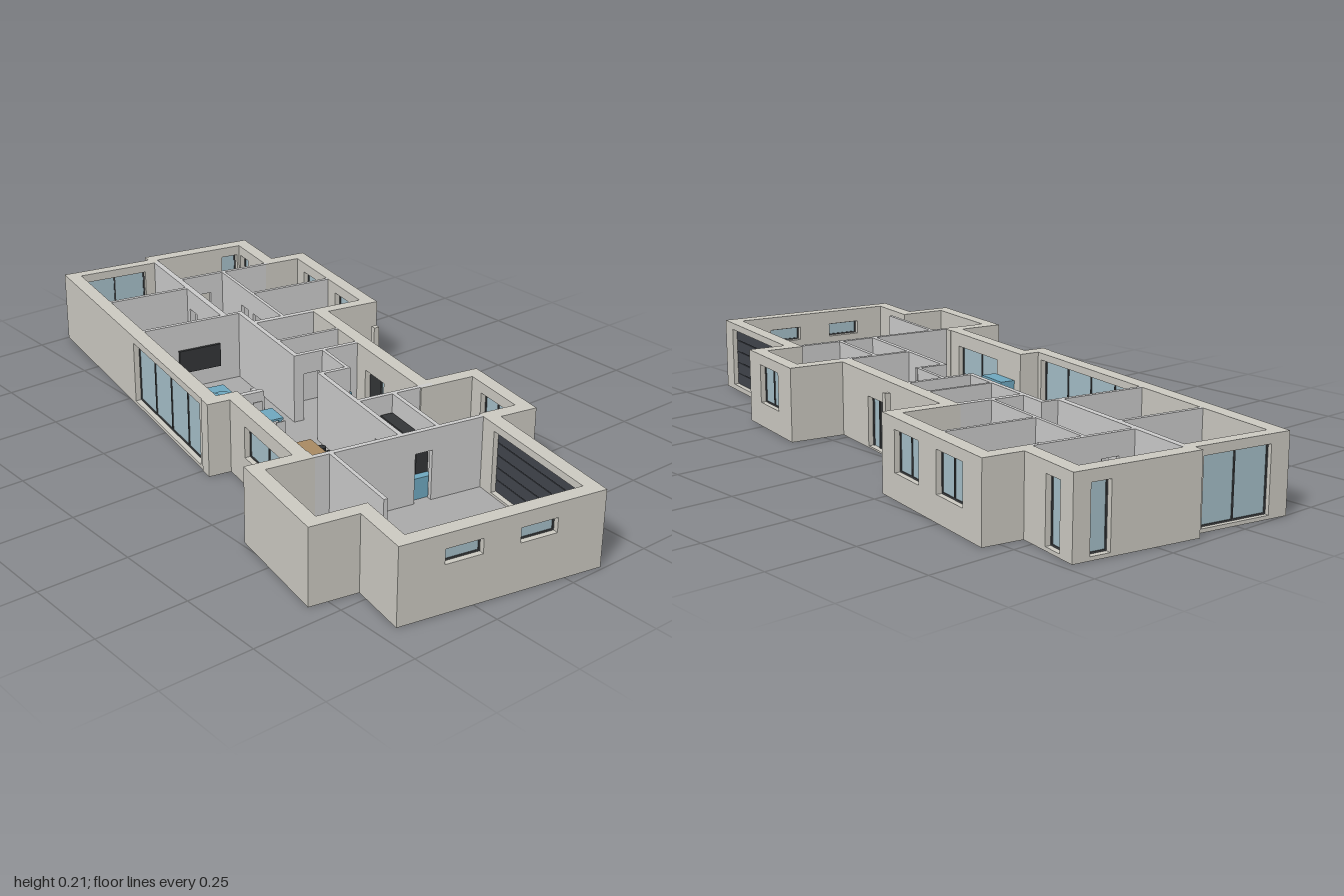
import * as THREE from 'three';

const H = 0.21; // wall height
const mat = (color) => new THREE.MeshStandardMaterial({ color });
const M = {
  wall: mat(0xcccac2), inner: mat(0xcccccc), floor: mat(0xaaaaaa), frame: mat(0x45484a),
  glass: mat(0xa5bfc8), garage: mat(0x41454c), blue: mat(0x6fa8c0), wood: mat(0xa98a62),
  dark: mat(0x333537), white: mat(0xdddddd),
};

// Box from ranges along the house's own x, z and y
function box(parent, name, m, x0, x1, z0, z1, y0, y1) {
  const mesh = new THREE.Mesh(new THREE.BoxGeometry(x1 - x0, y1 - y0, z1 - z0), m);
  mesh.position.set((x0 + x1) / 2, (y0 + y1) / 2, (z0 + z1) / 2);
  mesh.name = name;
  parent.add(mesh);
  return mesh;
}

// Box centred on a point, standing on the floor
const block = (parent, name, m, x, z, w, d, h, y = 0.008) =>
  box(parent, name, m, x - w / 2, x + w / 2, z - d / 2, z + d / 2, y, y + h);

// Wall along x or z with openings {a, b, y0, y1, kind, panes}
function wall(parent, name, m, axis, a0, a1, c0, c1, openings = []) {
  const g = new THREE.Group();
  g.name = name;
  parent.add(g);
  const put = (n, mt, a, b, y0, y1, d0 = c0, d1 = c1) =>
    axis === 'x' ? box(g, n, mt, a, b, d0, d1, y0, y1) : box(g, n, mt, d0, d1, a, b, y0, y1);
  const mid = (c0 + c1) / 2;
  let at = a0;
  for (const { a, b, y0, y1, kind, panes = 2 } of openings) {
    put('wallPiece', m, at, a, 0, H);
    if (y0 > 0) put('sill', m, a, b, 0, y0);
    put('lintel', m, a, b, y1, H);
    at = b;
    if (kind === 'window') {
      put('glass', M.glass, a, b, y0, y1, mid - 0.002, mid + 0.002);
      const f = 0.004;
      for (let i = 0; i <= panes; i++) {
        const p = a + f / 2 + (b - a - f) * i / panes;
        put('frame', M.frame, p - f / 2, p + f / 2, y0, y1, mid - 0.005, mid + 0.005);
      }
      put('frame', M.frame, a, b, y0, y0 + f, mid - 0.005, mid + 0.005);
      put('frame', M.frame, a, b, y1 - f, y1, mid - 0.005, mid + 0.005);
    } else if (kind === 'garage') {
      const n = 5, s = (y1 - y0) / n;
      put('garageDoor', M.garage, a, b, y0, y1, mid - 0.004, mid + 0.004);
      for (let i = 0; i < n; i++)
        put('doorPanel', M.garage, a, b, y0 + i * s + 0.001, y0 + (i + 1) * s - 0.001, mid - 0.006, mid + 0.006);
    } else if (kind === 'entry') {
      const s = a + (b - a) * 0.6;
      put('doorLeaf', M.dark, a, s, y0, y1, mid - 0.004, mid + 0.004);
      put('sideGlass', M.glass, s, b, y0, y1, mid - 0.002, mid + 0.002);
      for (const p of [s, b - 0.004]) put('frame', M.frame, p, p + 0.004, y0, y1, mid - 0.006, mid + 0.006);
    }
  }
  put('wallPiece', m, at, a1, 0, H);
}

const win = (a, b, y0, y1, panes) => ({ a, b, y0, y1, panes, kind: 'window' });
const door = (a, w = 0.05) => ({ a, b: a + w, y0: 0, y1: 0.15 });

export function createModel() {
  const model = new THREE.Group();
  model.name = 'house';
  const house = new THREE.Group();
  house.name = 'floorPlan';
  house.rotation.y = -11 * Math.PI / 180;
  model.add(house);

  // Floor slabs
  [[-0.32, -0.04, -0.94, 0.08], [-0.05, 0.27, -0.96, -0.33], [0.2, 0.38, -0.765, -0.33],
    [-0.05, 0.22, -0.34, 0.49], [-0.255, -0.04, 0.07, 0.5], [0.1, 0.38, 0.255, 0.495],
    [-0.255, 0.27, 0.49, 0.934], [-0.39, -0.2, 0.476, 0.768],
  ].forEach((r) => box(house, 'floor', M.floor, ...r, 0.001, 0.008));

  // Outer walls
  [['x', -0.338, -0.04, -0.953, -0.92, [win(-0.285, -0.085, 0.01, 0.185)]],
    ['x', -0.06, 0.292, -0.98, -0.94, [win(0.19, 0.245, 0.01, 0.18, 1)]],
    ['x', 0.252, 0.404, -0.785, -0.745],
    ['x', 0.203, 0.404, -0.345, -0.31],
    ['x', 0.2, 0.399, 0.235, 0.275],
    ['x', 0.25, 0.399, 0.475, 0.515],
    ['x', -0.274, 0.29, 0.914, 0.954, [win(-0.151, -0.049, 0.13, 0.17, 1), win(0.053, 0.155, 0.13, 0.17, 1)]],
    ['x', -0.409, -0.235, 0.75, 0.787],
    ['x', -0.409, -0.235, 0.457, 0.495],
    ['x', -0.342, -0.2375, 0.065, 0.105],
    ['z', -0.953, 0.105, -0.34, -0.298, [win(-0.4, 0.05, 0.01, 0.19, 4)]],
    ['z', -0.98, -0.745, 0.252, 0.292, [win(-0.93, -0.873, 0.01, 0.18, 1)]],
    ['z', -0.785, -0.31, 0.364, 0.404, [win(-0.7, -0.58, 0.07, 0.18), win(-0.495, -0.375, 0.07, 0.18)]],
    ['z', -0.345, 0.275, 0.2, 0.24, [{ a: -0.02, b: 0.082, y0: 0.005, y1: 0.145, kind: 'entry' }]],
    ['z', 0.235, 0.515, 0.36, 0.399, [win(0.32, 0.44, 0.07, 0.18)]],
    ['z', 0.475, 0.954, 0.25, 0.29, [{ a: 0.545, b: 0.9, y0: 0.015, y1: 0.19, kind: 'garage' }]],
    ['z', 0.75, 0.954, -0.274, -0.235],
    ['z', 0.457, 0.787, -0.409, -0.37],
    ['z', 0.065, 0.495, -0.2775, -0.2375, [win(0.19, 0.41, 0.08, 0.17, 2)]],
  ].forEach((w) => wall(house, 'outerWall', M.wall, ...w));

  // Thin partitions with doorways
  [['x', -0.298, -0.05, -0.681, -0.669],
    ['x', -0.298, 0.0, -0.43, -0.418],
    ['x', -0.04, 0.26, -0.757, -0.745, [door(0.01)]],
    ['x', 0.105, 0.364, -0.551, -0.54],
    ['x', 0.012, 0.2, -0.345, -0.328, [door(0.03)]],
    ['x', 0.012, 0.2, -0.19, -0.18],
    ['x', 0.0, 0.2, -0.08, -0.067, [door(0.03)]],
    ['x', 0.005, 0.1, 0.06, 0.072],
    ['x', 0.005, 0.24, 0.257, 0.27],
    ['x', -0.2375, 0.25, 0.481, 0.495, [door(0.05)]],
    ['z', -0.953, -0.42, -0.053, -0.035, [door(-0.735), door(-0.65)]],
    ['z', -0.75, -0.345, 0.1, 0.11, [door(-0.61), door(-0.53)]],
    ['z', -0.43, -0.067, 0, 0.014],
    ['z', -0.067, 0.07, 0.088, 0.098],
    ['z', 0.06, 0.485, 0.005, 0.018, [door(0.37)]],
    ['z', 0.265, 0.485, 0.115, 0.127],
    ['z', 0.49, 0.755, -0.195, -0.184, [door(0.66)]],
  ].forEach((w) => wall(house, 'partition', M.inner, ...w));

  // Porch post
  block(house, 'porchPost', M.wall, 0.303, -0.145, 0.016, 0.016, H, 0);

  // Living area
  block(house, 'screen', M.dark, -0.13, -0.412, 0.13, 0.008, 0.07, 0.06);
  block(house, 'rug', M.blue, -0.14, -0.29, 0.14, 0.19, 0.002);
  block(house, 'armchairSeat', M.blue, -0.25, -0.297, 0.08, 0.08, 0.035);
  block(house, 'armchairBack', M.blue, -0.282, -0.297, 0.016, 0.08, 0.065);
  for (const [x, z, h] of [[-0.165, -0.27, 0.03], [-0.125, -0.272, 0.024]]) {
    const t = new THREE.Mesh(new THREE.CylinderGeometry(0.03, 0.03, h, 24), M.blue);
    t.position.set(x, 0.008 + h / 2, z);
    t.name = 'coffeeTable';
    house.add(t);
  }
  block(house, 'sofaSeat', M.white, -0.135, -0.21, 0.19, 0.065, 0.03);
  block(house, 'sofaBack', M.white, -0.135, -0.185, 0.19, 0.016, 0.06);
  for (const s of [-1, 1]) block(house, 'sofaArm', M.white, -0.135 + s * 0.09, -0.21, 0.014, 0.065, 0.043);

  // Dining table and chairs
  block(house, 'tableTop', M.blue, -0.149, -0.058, 0.185, 0.07, 0.006, 0.048);
  for (const sx of [-1, 1]) for (const sz of [-1, 1])
    block(house, 'tableLeg', M.blue, -0.149 + sx * 0.085, -0.058 + sz * 0.028, 0.008, 0.008, 0.042);
  for (const s of [-1, 1]) for (let i = 0; i < 4; i++) {
    const x = -0.215 + i * 0.044, z = -0.058 + s * 0.058;
    block(house, 'chairSeat', M.white, x, z, 0.028, 0.028, 0.025);
    block(house, 'chairBack', M.white, x, z + s * 0.013, 0.028, 0.004, 0.055);
  }

  // Kitchen
  block(house, 'tallCabinet', M.blue, -0.215, 0.148, 0.044, 0.105, 0.12);
  block(house, 'sideCounter', M.wood, -0.214, 0.34, 0.044, 0.28, 0.055);
  block(house, 'backCounter', M.wood, -0.136, 0.458, 0.112, 0.044, 0.055);
  block(house, 'fridge', M.blue, -0.038, 0.458, 0.08, 0.044, 0.12);
  block(house, 'island', M.wood, -0.09, 0.244, 0.06, 0.2, 0.055);
  block(house, 'cooktop', M.dark, -0.095, 0.302, 0.035, 0.04, 0.002, 0.063);
  for (let i = 0; i < 3; i++) {
    const stool = new THREE.Mesh(new THREE.CylinderGeometry(0.012, 0.009, 0.04, 16), M.dark);
    stool.position.set(-0.042, 0.028, 0.172 + i * 0.036);
    stool.name = 'stool';
    house.add(stool);
  }

  // Hall, utility and storage
  block(house, 'utilityUnit', M.blue, 0.06, 0.166, 0.076, 0.178, 0.1);
  block(house, 'hallBench', M.blue, 0.164, 0.162, 0.035, 0.08, 0.035);
  block(house, 'hallShelf', M.blue, 0.14, -0.058, 0.07, 0.016, 0.06);
  block(house, 'storageRack', M.dark, 0.095, 0.365, 0.036, 0.18, 0.15);
  block(house, 'storageCabinet', M.blue, 0.068, 0.462, 0.09, 0.03, 0.06);

  return model;
}
